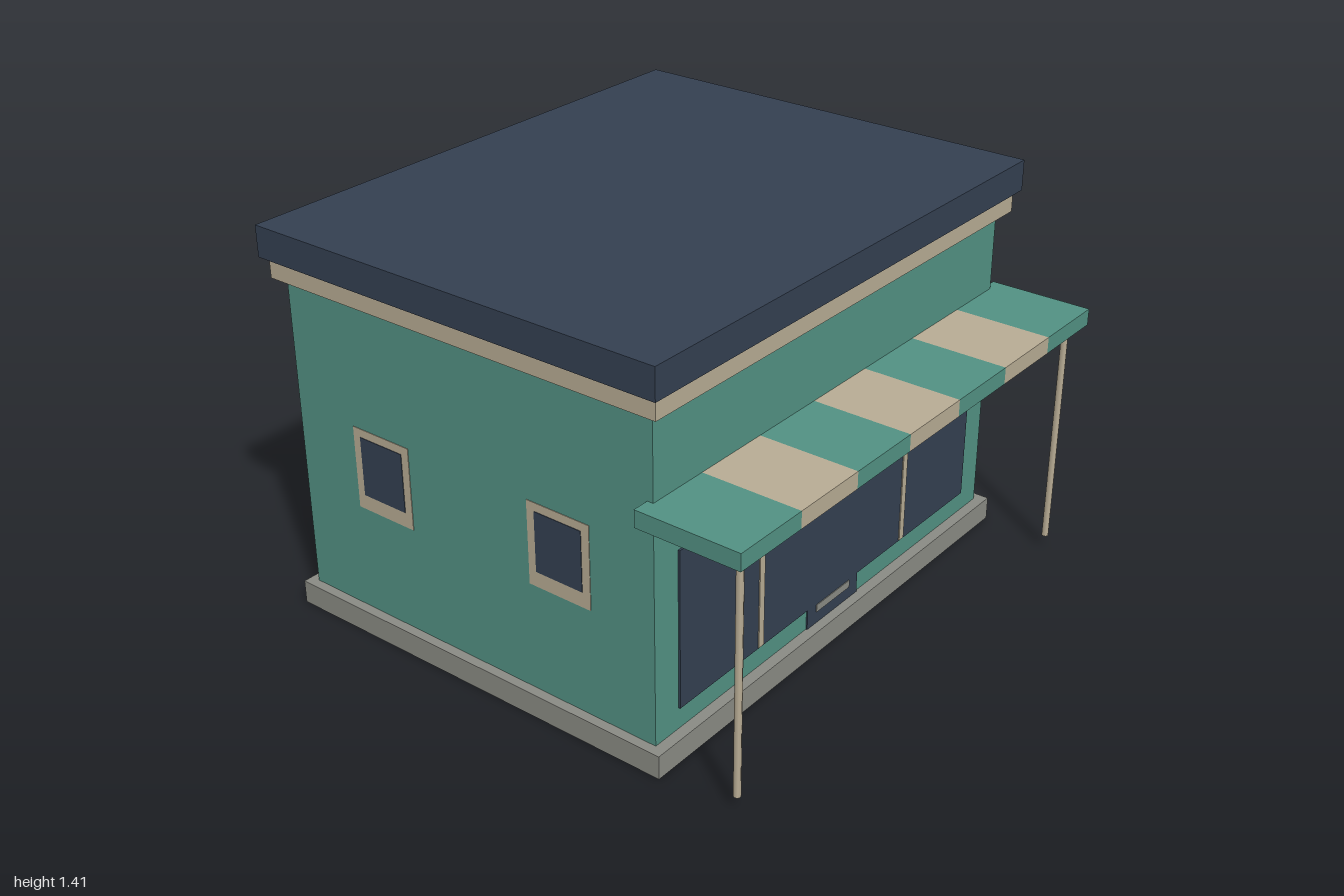
import * as THREE from 'three';

const mat = (name, color) => {
  const m = new THREE.MeshStandardMaterial({ color });
  m.name = name;
  return m;
};

export function createModel() {
  const teal = mat('teal paint', 0x539284);
  const tan = mat('tan trim', 0xb9ad95);
  const navy = mat('navy', 0x344052);
  const gray = mat('stone gray', 0x8b8c85);

  const model = new THREE.Group();
  model.name = 'shop';

  // Box given by its limits on each axis
  const box = (name, material, [x0, x1], [y0, y1], [z0, z1], parent = model) => {
    const mesh = new THREE.Mesh(new THREE.BoxGeometry(x1 - x0, y1 - y0, z1 - z0), material);
    mesh.position.set((x0 + x1) / 2, (y0 + y1) / 2, (z0 + z1) / 2);
    mesh.name = name;
    parent.add(mesh);
    return mesh;
  };

  // Building shell, from the ground up
  box('foundation', gray, [-0.975, 0.975], [0, 0.085], [-0.935, 0.64]);
  box('walls', teal, [-0.94, 0.94], [0.085, 1.23], [-0.9, 0.6]);
  box('cornice', tan, [-0.975, 0.975], [1.23, 1.295], [-0.935, 0.64]);
  box('roof', navy, [-1, 1], [1.305, 1.415], [-0.955, 0.66]);

  // Framed window built facing +z, centred on its frame
  const addWindow = (name, x, z, turn) => {
    const win = new THREE.Group();
    win.name = name;
    box('windowFrame', tan, [-0.124, 0.124], [-0.15, 0.15], [0, 0.002], win);
    box('windowGlass', navy, [-0.093, 0.093], [-0.095, 0.12], [0.002, 0.004], win);
    win.position.set(x, 0.625, z);
    win.rotation.y = turn;
    model.add(win);
  };
  for (const side of [-1, 1]) {
    for (const z of [0.23, -0.523]) addWindow('sideWindow', side * 0.94, z, side * Math.PI / 2);
  }
  for (const x of [-0.55, 0, 0.55]) addWindow('frontWindow', x, 0.6, 0);

  // Door, shopfront glazing and its bars
  box('door', navy, [-0.147, 0.147], [0.085, 0.6], [0.6, 0.605]);
  box('doorPlate', gray, [-0.098, 0.096], [0.13, 0.158], [0.605, 0.608]);
  box('shopfrontGlass', navy, [-0.828, 0.828], [0.163, 0.73], [0.6, 0.607]);
  for (const x of [-0.415, 0.415]) {
    box('shopfrontBar', tan, [x - 0.013, x + 0.013], [0.168, 0.73], [0.607, 0.611]);
  }

  // Striped awning
  const awning = new THREE.Group();
  awning.name = 'awning';
  model.add(awning);
  const w = 2 / 7;
  for (let i = 0; i < 7; i++) {
    box('awningStripe', i % 2 ? tan : teal, [-1 + i * w, -1 + (i + 1) * w], [0.88, 0.94], [0.578, 0.955], awning);
  }

  // Awning posts
  for (const side of [-1, 1]) {
    const post = new THREE.Mesh(new THREE.CylinderGeometry(0.0125, 0.0125, 0.835, 8), tan);
    post.position.set(side * 0.935, 0.4625, 0.905);
    post.name = 'awningPost';
    model.add(post);
  }

  return model;
}
